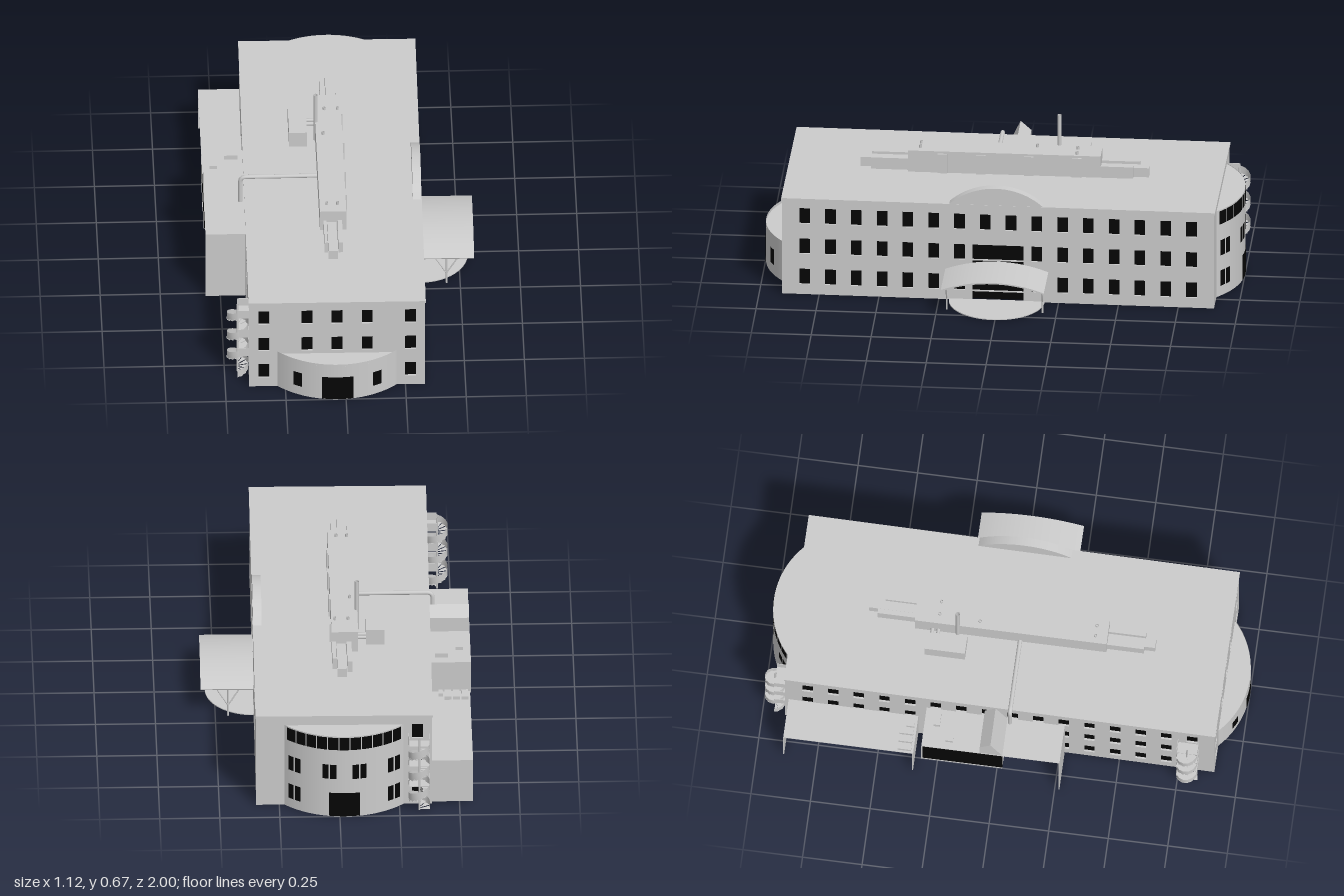
import * as THREE from 'three';

const grey = new THREE.MeshStandardMaterial({ color: 0xcccccc, side: THREE.DoubleSide });
const black = new THREE.MeshStandardMaterial({ color: 0x050505, side: THREE.DoubleSide });
const XC = -0.027, HALF_W = 0.366, HALF_L = 0.902, HEIGHT = 0.43;
const ROWS = [[0.045, 0.115], [0.183, 0.252], [0.32, 0.39]];

function add(parent, name, geo, mat = grey) {
  const mesh = new THREE.Mesh(geo, mat);
  mesh.name = name;
  parent.add(mesh);
  return mesh;
}

// Box given by its min and max on each axis
function box(parent, name, x0, x1, y0, y1, z0, z1, mat = grey) {
  const m = add(parent, name, new THREE.BoxGeometry(x1 - x0, y1 - y0, z1 - z0), mat);
  m.position.set((x0 + x1) / 2, (y0 + y1) / 2, (z0 + z1) / 2);
  return m;
}

function beam(parent, name, a, b, r) {
  const path = new THREE.LineCurve3(new THREE.Vector3(...a), new THREE.Vector3(...b));
  return add(parent, name, new THREE.TubeGeometry(path, 1, r, 8), grey);
}

// Wall facing local +z, pierced by [x0, x1, y0, y1] openings, dark glass behind
function wall(parent, name, width, openings) {
  const g = new THREE.Group();
  g.name = name;
  const w = width / 2;
  const shape = new THREE.Shape([[-w, 0], [w, 0], [w, HEIGHT], [-w, HEIGHT]].map(p => new THREE.Vector2(...p)));
  for (const [a, b, c, d] of openings)
    shape.holes.push(new THREE.Path([[a, c], [a, d], [b, d], [b, c]].map(p => new THREE.Vector2(...p))));
  const panel = add(g, 'wallPanel', new THREE.ExtrudeGeometry(shape, { depth: 0.008, bevelEnabled: false }));
  panel.position.z = -0.008;
  const glass = add(g, 'glass', new THREE.PlaneGeometry(width - 0.04, HEIGHT - 0.01), black);
  glass.position.set(0, HEIGHT / 2, -0.009);
  parent.add(g);
  return g;
}

// Bowed end bay: curved wall, flat top and dark [angle0, angle1, y0, y1] panes
function bow(parent, name, height, roofY, panes) {
  const g = new THREE.Group();
  g.name = name;
  const r = 0.3625, half = 0.761, cz = 1 - r;
  const arc = (n, rad, a0, a1, y0, y1, mat) => {
    const segs = Math.max(2, Math.ceil((a1 - a0) * 24));
    const m = add(g, n, new THREE.CylinderGeometry(rad, rad, y1 - y0, segs, 1, true, a0, a1 - a0), mat);
    m.position.set(0, (y0 + y1) / 2, cz);
  };
  arc('bowWall', r, -half, half, 0, height, grey);
  const top = new THREE.Shape();
  top.absarc(0, 0, r, Math.PI / 2 - half, Math.PI / 2 + half, false);
  const roof = add(g, 'bowRoof', new THREE.ShapeGeometry(top, 36));
  roof.rotation.x = Math.PI / 2;
  roof.position.set(0, roofY, cz);
  for (const [a0, a1, y0, y1] of panes) arc('bowGlass', r + 0.0015, a0, a1, y0, y1, black);
  parent.add(g);
  return g;
}

// Spiral escape stair with its landings reaching towards local +x
function spiralStair(parent, name) {
  const g = new THREE.Group();
  g.name = name;
  const r = 0.045, turns = 3, perTurn = 14, rise = 0.3, n = turns * perTurn;
  beam(g, 'stairPole', [0, 0, 0], [0, 0.345, 0], 0.004);
  const pos = [], idx = [];
  for (let i = 0; i <= n; i++) {
    const a = (i / perTurn) * Math.PI * 2, y = (i / n) * rise;
    const step = Math.PI * 2 / perTurn;
    if (i < n) {
      const tread = add(g, 'stairTread', new THREE.CylinderGeometry(r, r, 0.003, 2, 1, false, a, step));
      tread.position.y = y + 0.004;
    }
    // Solid guard rail following the helix
    pos.push(r * Math.sin(a), y, r * Math.cos(a), r * Math.sin(a), y + 0.035, r * Math.cos(a));
    if (i < n) idx.push(2 * i, 2 * i + 2, 2 * i + 1, 2 * i + 1, 2 * i + 2, 2 * i + 3);
  }
  const rail = new THREE.BufferGeometry();
  rail.setAttribute('position', new THREE.Float32BufferAttribute(pos, 3));
  rail.setIndex(idx);
  rail.computeVertexNormals();
  add(g, 'stairRail', rail);
  for (const y of [0.11, 0.207, 0.305]) {
    box(g, 'landing', 0, 0.052, y, y + 0.004, -0.043, 0.043);
    for (const z of [-0.043, 0.043]) box(g, 'landingRail', 0, 0.052, y, y + 0.04, z - 0.001, z + 0.001);
  }
  parent.add(g);
  return g;
}

export function createModel() {
  const model = new THREE.Group();
  model.name = 'building';
  const body = new THREE.Group();
  body.name = 'mainBlock';
  body.rotation.y = -0.008;
  model.add(body);

  // Walls with their window grids
  const win = (c, [y0, y1]) => [c - 0.0225, c + 0.0225, y0, y1];
  const endCols = [-0.305, -0.125, 0, 0.125, 0.305];
  const endWins = ROWS.flatMap((row, i) => endCols.filter(c => i > 0 || Math.abs(c) > 0.2).map(c => win(c, row)));
  const front = wall(body, 'frontWall', HALF_W * 2, endWins);
  front.position.set(XC, 0, HALF_L);
  const back = wall(body, 'backWall', HALF_W * 2, ROWS.map(row => win(0.305, row)));
  back.rotation.y = Math.PI;
  back.position.set(XC, 0, -HALF_L);
  const cols = Array.from({ length: 16 }, (_, i) => (i - 7.5) * 0.1077);
  const sideWins = skip => ROWS.flatMap((row, i) =>
    cols.filter(c => !skip || i === 2 || Math.abs(c) > 0.1).map(c => win(c, row)));
  const left = wall(body, 'leftWall', HALF_L * 2, [...sideWins(true), [-0.107, 0.107, 0.002, 0.252]]);
  left.rotation.y = Math.PI / 2;
  left.position.x = XC + HALF_W;
  const right = wall(body, 'rightWall', HALF_L * 2, sideWins(false));
  right.rotation.y = -Math.PI / 2;
  right.position.x = XC - HALF_W;
  for (const y of [0.04, 0.12, 0.18])
    box(body, 'entranceBar', XC + HALF_W - 0.006, XC + HALF_W, y, y + 0.005, -0.107, 0.107);
  box(body, 'roof', XC - 0.369, XC + 0.369, 0.424, 0.434, -0.906, 0.906);

  // Bowed bays at both ends
  const pair = (a, w, y0, y1) => [-1, 1].map(s => [s * a - w, s * a + w, y0, y1]);
  const frontBow = bow(body, 'frontBow', 0.18, 0.168,
    [[-0.18, 0.18, 0.002, 0.115], ...pair(0.473, 0.054, 0.045, 0.115)]);
  frontBow.position.x = XC;
  const backPanes = [[-0.18, 0.18, 0.002, 0.115]];
  for (const a of [0.56, 0.655]) for (const [y0, y1] of ROWS.slice(0, 2)) backPanes.push(...pair(a, 0.036, y0, y1));
  for (const a of [0.13, 0.22]) backPanes.push(...pair(a, 0.036, ...ROWS[1]));
  for (let i = -5; i <= 5; i++) backPanes.push([i * 0.13 - 0.059, i * 0.13 + 0.059, 0.325, 0.385]);
  const backBow = bow(body, 'backBow', 0.39, 0.388, backPanes);
  backBow.rotation.y = Math.PI;
  backBow.position.x = XC;

  // Arched gable over the entrance
  const gable = new THREE.Shape();
  const gr = 0.29, gh = Math.asin(0.2 / gr);
  gable.absarc(0, 0.51 - gr, gr, Math.PI / 2 - gh, Math.PI / 2 + gh, false);
  const gableMesh = add(body, 'archedGable', new THREE.ExtrudeGeometry(gable, { depth: 0.036, bevelEnabled: false, curveSegments: 28 }));
  gableMesh.rotation.y = Math.PI / 2;
  gableMesh.position.set(0.305, 0, 0.008);

  // Vaulted entrance canopy, its branching posts and paving
  const vault = new THREE.Shape();
  const cr = 0.598, ch = 0.368;
  vault.absarc(0, 0.178 - cr, cr, Math.PI / 2 - ch, Math.PI / 2 + ch, false);
  vault.absarc(0, 0.178 - cr, cr - 0.006, Math.PI / 2 + ch, Math.PI / 2 - ch, true);
  const canopy = add(body, 'canopy', new THREE.ExtrudeGeometry(vault, { depth: 0.222, bevelEnabled: false, curveSegments: 28 }));
  canopy.rotation.y = Math.PI / 2;
  canopy.position.set(0.338, 0, 0.005);
  for (const z of [-0.195, 0.205]) {
    beam(body, 'canopyPost', [0.445, 0, z], [0.445, 0.135, z], 0.004);
    for (const s of [-1, 1]) beam(body, 'canopyBranch', [0.445, 0.05, z], [0.445 + s * 0.05, 0.135, z], 0.003);
  }
  const paving = add(body, 'paving', new THREE.CylinderGeometry(0.2, 0.2, 0.004, 32, 1, false, 0, Math.PI));
  paving.position.set(0.339, 0.002, 0.005);

  // Rooftop plant room, ducts and chimney
  const R = 0.434;
  box(model, 'plantRoom', -0.09, 0.02, R, 0.53, -0.4, 0.405);
  box(model, 'duct', -0.06, -0.022, R, 0.475, 0.405, 0.605);
  box(model, 'duct', -0.018, 0.002, R, 0.485, 0.405, 0.56);
  box(model, 'duct', -0.075, -0.062, R, 0.485, 0.405, 0.56);
  box(model, 'duct', -0.038, 0.0, R, 0.475, -0.6, -0.4);
  box(model, 'duct', -0.062, -0.042, R, 0.485, -0.56, -0.4);
  box(model, 'duct', 0.002, 0.02, R, 0.485, -0.535, -0.4);
  for (const z of [-0.3, -0.1, 0.1, 0.26]) box(model, 'louvre', 0.02, 0.027, R, 0.52, z - 0.02, z + 0.02);
  for (const [x, z] of [[-0.06, 0.355], [-0.015, 0.355], [-0.06, -0.13], [0.005, -0.3], [-0.05, -0.3]])
    beam(model, 'roofVent', [x, 0.53, z], [x, 0.542, z], 0.006);
  beam(model, 'chimney', [-0.088, R, -0.22], [-0.088, 0.667, -0.22], 0.009);
  box(model, 'airUnit', -0.2, -0.125, R, 0.505, -0.345, -0.175);
  for (const z of [-0.325, -0.3]) beam(model, 'airPipe', [-0.13, 0.458, z], [-0.085, 0.458, z], 0.008);

  // Flue pipe crossing the roof and turning down the wall
  const flue = new THREE.CurvePath();
  const P = (x, y) => new THREE.Vector3(x, y, 0.042);
  flue.add(new THREE.LineCurve3(P(-0.085, 0.445), P(-0.385, 0.445)));
  flue.add(new THREE.QuadraticBezierCurve3(P(-0.385, 0.445), P(-0.41, 0.445), P(-0.41, 0.42)));
  flue.add(new THREE.LineCurve3(P(-0.41, 0.42), P(-0.41, 0.32)));
  add(model, 'fluePipe', new THREE.TubeGeometry(flue, 60, 0.009, 10));

  // Low open-sided lean-to
  box(model, 'leanToRoof', -0.557, -0.385, 0.196, 0.2, -0.89, -0.345);
  for (const z of [-0.89, -0.349]) box(model, 'leanToEnd', -0.557, -0.385, 0, 0.196, z, z + 0.004);
  [-0.535, -0.5, -0.465, -0.43].forEach((x, i) =>
    box(model, 'leanToVent', x - 0.013, x + (i < 3 ? 0.015 : 0.005), 0.2, 0.215, -0.412 + (i === 3 ? 0.025 : 0), -0.355));

  // Taller side wing with glazed upper floor and wedge skylight
  box(model, 'wingRoof', -0.562, -0.39, 0.316, 0.32, -0.31, 0.27);
  box(model, 'wingEnd', -0.562, -0.39, 0, 0.316, 0.266, 0.27);
  box(model, 'wingEnd', -0.562, -0.39, 0.17, 0.316, -0.31, -0.306);
  box(model, 'wingFloor', -0.562, -0.39, 0.17, 0.174, -0.306, 0.03);
  box(model, 'wingGlass', -0.56, -0.556, 0.174, 0.316, -0.306, 0.03, black);
  const wedge = new THREE.Shape([[0.065, 0.32], [0.065, 0.385], [0.02, 0.425], [-0.03, 0.32]].map(p => new THREE.Vector2(...p)));
  const skylight = add(model, 'skylight', new THREE.ExtrudeGeometry(wedge, { depth: 0.165, bevelEnabled: false }));
  skylight.rotation.y = Math.PI / 2;
  skylight.position.x = -0.56;
  box(model, 'wingUnit', -0.468, -0.413, 0.32, 0.34, -0.272, -0.245);
  box(model, 'wingUnit', -0.53, -0.5, 0.32, 0.335, -0.215, -0.182);

  // Escape stairs
  spiralStair(model, 'frontStair').position.set(-0.446, 0, 0.79);
  const backStair = spiralStair(model, 'backStair');
  backStair.rotation.y = -Math.PI / 2;
  backStair.position.set(-0.332, 0, -0.952);

  return model;
}
